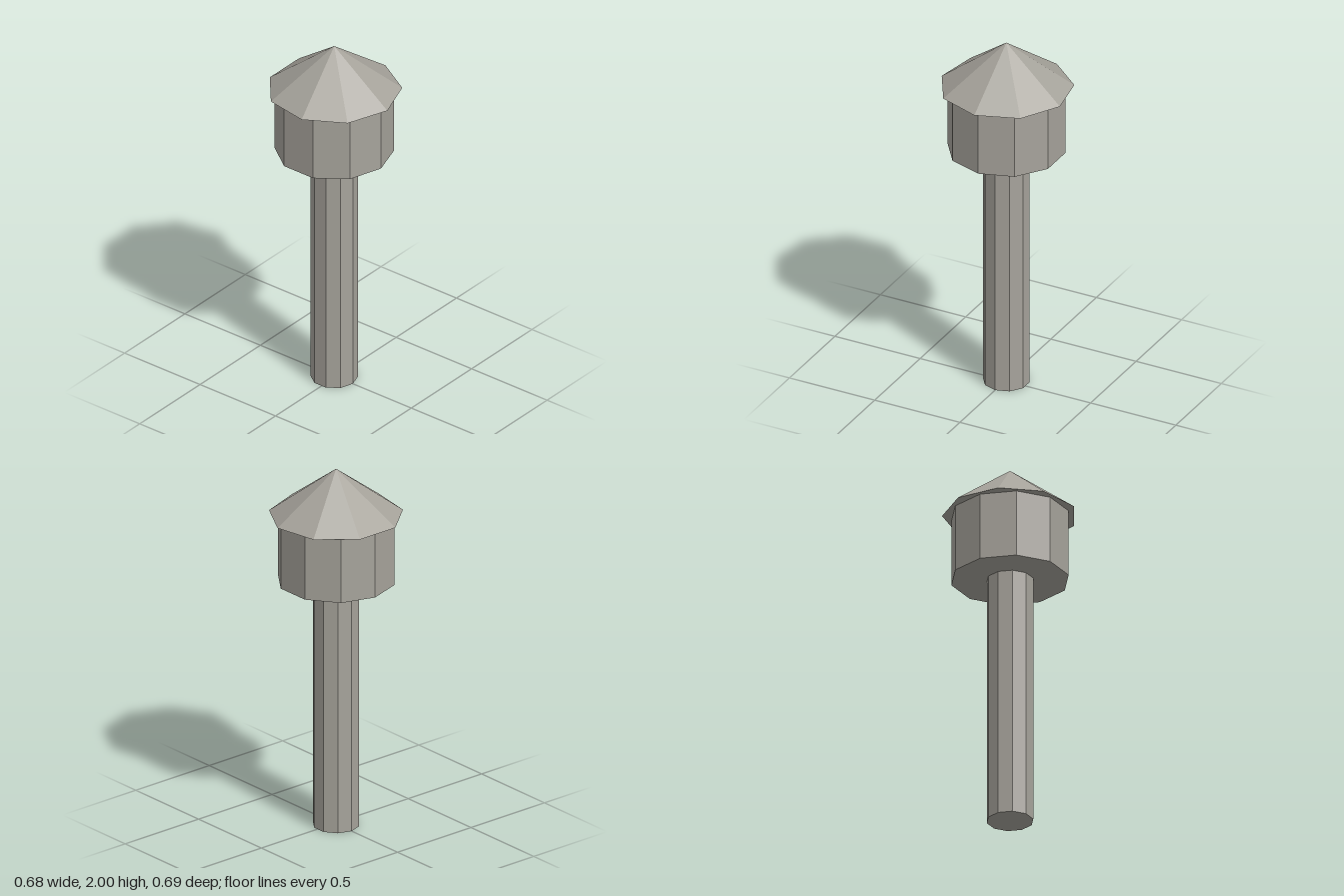
import * as THREE from 'three';

export function createModel() {
  const model = new THREE.Group();
  model.name = 'cappedPost';

  const stone = new THREE.MeshStandardMaterial({ color: 0xa6a39b, flatShading: true });
  stone.name = 'warm grey stone';

  // Faceted drum between two heights, with one corner pointing to +x
  function addDrum(name, topRadius, bottomRadius, y0, y1, sides) {
    const geometry = topRadius === 0
      ? new THREE.ConeGeometry(bottomRadius, y1 - y0, sides, 1, false, Math.PI / 2)
      : new THREE.CylinderGeometry(topRadius, bottomRadius, y1 - y0, sides, 1, false, Math.PI / 2);
    const mesh = new THREE.Mesh(geometry, stone);
    mesh.name = name;
    mesh.position.set(-0.0106, (y0 + y1) / 2, 0);
    model.add(mesh);
  }

  addDrum('post', 0.123, 0.123, 0, 1.376, 10);
  addDrum('head', 0.31, 0.31, 1.376, 1.742, 10);
  addDrum('roof', 0, 0.352, 1.742, 2, 9);

  return model;
}
